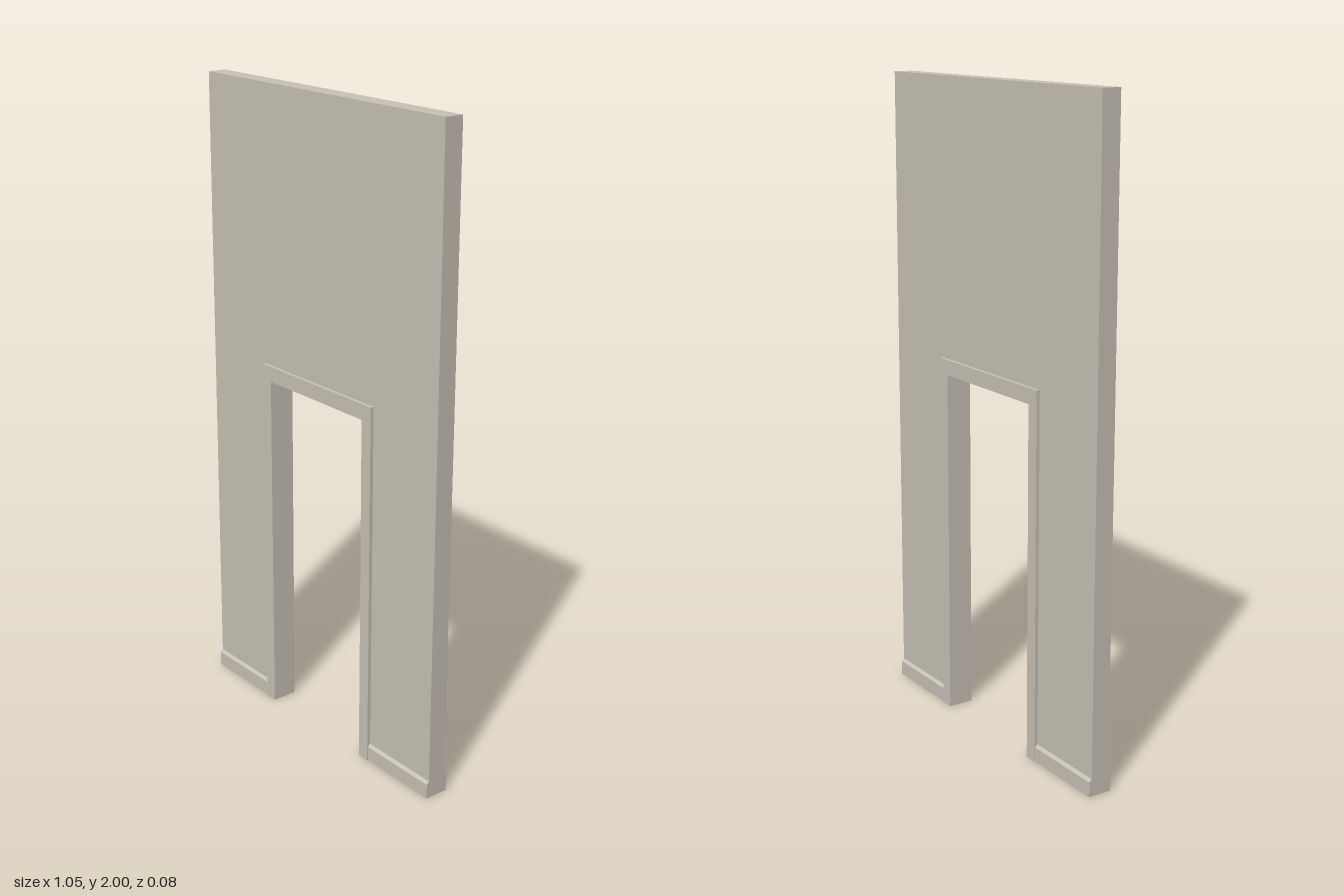
import * as THREE from 'three';

const HALF_W = 0.527, HEIGHT = 2, WALL_D = 0.06;
const OPEN_X = 0.217, OPEN_Y = 1.1;
const TRIM_X = 0.257, TRIM_Y = 1.148, TRIM_D = 0.082;
const SKIRT_H = 0.055, SKIRT_Z = 0.038;

// Upside-down U: an outer rectangle with a doorway cut from its base
function archShape(outX, outY, inX, inY) {
  return new THREE.Shape([
    [-outX, 0], [-inX, 0], [-inX, inY], [inX, inY],
    [inX, 0], [outX, 0], [outX, outY], [-outX, outY],
  ].map(([x, y]) => new THREE.Vector2(x, y)));
}

function centredExtrude(shape, depth) {
  return new THREE.ExtrudeGeometry(shape, { depth, bevelEnabled: false })
    .translate(0, 0, -depth / 2);
}

export function createModel() {
  const group = new THREE.Group();
  const plaster = new THREE.MeshStandardMaterial({ color: 0xc8c3b7 });
  plaster.name = 'warmGreyPlaster';

  const add = (name, geometry) => {
    const mesh = new THREE.Mesh(geometry, plaster);
    mesh.name = name;
    group.add(mesh);
    return mesh;
  };

  // Wall panel and the thicker door frame that lines its opening
  add('wall', centredExtrude(archShape(HALF_W, HEIGHT, TRIM_X, TRIM_Y), WALL_D));
  add('doorFrame', centredExtrude(archShape(TRIM_X, TRIM_Y, OPEN_X, OPEN_Y), TRIM_D));

  // Skirting with a chamfered top edge, wrapping both faces of each wall leg
  const w = WALL_D / 2;
  const profile = new THREE.Shape([
    [-SKIRT_Z, 0], [SKIRT_Z, 0], [SKIRT_Z, SKIRT_H - 0.009], [w, SKIRT_H],
    [-w, SKIRT_H], [-SKIRT_Z, SKIRT_H - 0.009],
  ].map(([x, y]) => new THREE.Vector2(x, y)));
  const length = HALF_W - TRIM_X;
  for (const [side, name] of [[1, 'leftSkirting'], [-1, 'rightSkirting']]) {
    const skirting = add(name, centredExtrude(profile, length).rotateY(Math.PI / 2));
    skirting.position.x = side * (TRIM_X + length / 2);
  }

  return group;
}
